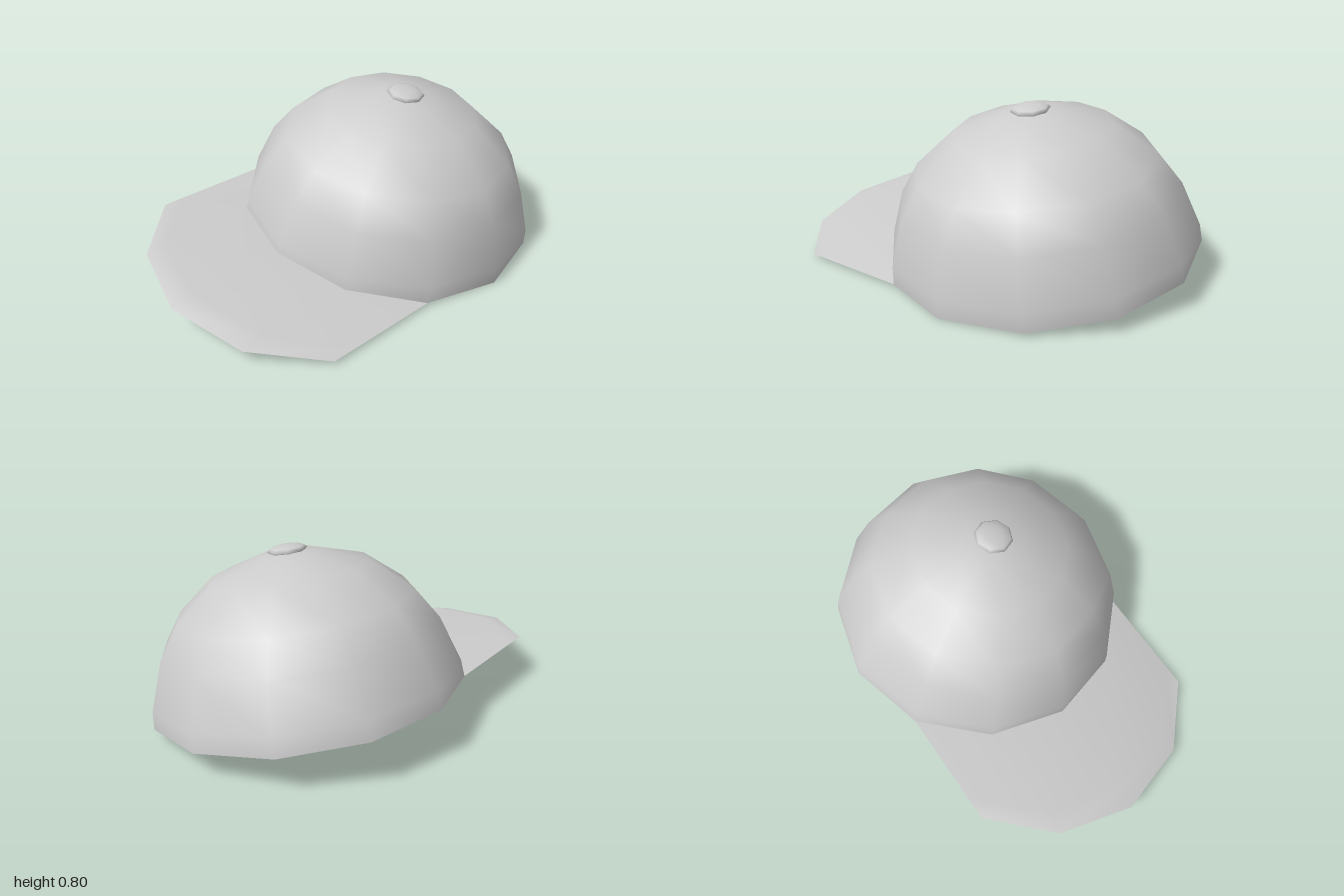
import * as THREE from 'three';

const SIDES = 12;
const RIM = 0.72;

export function createModel() {
  const cap = new THREE.Group();
  cap.name = 'cap';
  const cloth = new THREE.MeshStandardMaterial({ color: 0xcccccc, side: THREE.DoubleSide });

  const add = (name, geometry) => {
    const mesh = new THREE.Mesh(geometry, cloth);
    mesh.name = name;
    cap.add(mesh);
    return mesh;
  };

  // Hollow twelve-sided crown, open at the bottom
  const profile = [
    [RIM, 0], [0.712, 0.08], [0.638, 0.288], [0.545, 0.425],
    [0.36, 0.576], [0.13, 0.649], [0, 0.66],
  ].map(([r, y]) => new THREE.Vector2(r, y));
  add('crown', new THREE.LatheGeometry(profile, SIDES));

  // Visor: the front of the rim swept forward, slightly arched, turned down at its edge
  add('visor', visorGeometry());

  // Flattened button on the top of the crown
  const button = add('topButton', new THREE.SphereGeometry(0.09, 8, 6));
  button.scale.y = 0.28;
  button.position.y = 0.66;

  // The whole cap leans to its left
  cap.rotation.z = -0.167;
  cap.position.set(0, 0.12, -0.28);

  const model = new THREE.Group();
  model.add(cap);
  return model;
}

function visorGeometry() {
  const reach = 0.56;
  const rows = [[0, 1], [0.82, 1], [1, 0]]; // forward fraction, share of the arch
  const arch = [0, 0.025, 0.035, 0.025, 0];
  const positions = [];
  const index = [];
  rows.forEach(([forward, share], r) => {
    arch.forEach((lift, c) => {
      const angle = (c - 2) * 2 * Math.PI / SIDES;
      positions.push(
        RIM * Math.sin(angle),
        lift * share,
        RIM * Math.cos(angle) + reach * forward,
      );
      if (r < rows.length - 1 && c < arch.length - 1) {
        const a = r * arch.length + c;
        const b = a + arch.length;
        index.push(a, b, a + 1, a + 1, b, b + 1);
      }
    });
  });
  const geometry = new THREE.BufferGeometry();
  geometry.setAttribute('position', new THREE.Float32BufferAttribute(positions, 3));
  geometry.setIndex(index);
  geometry.computeVertexNormals();
  return geometry;
}
